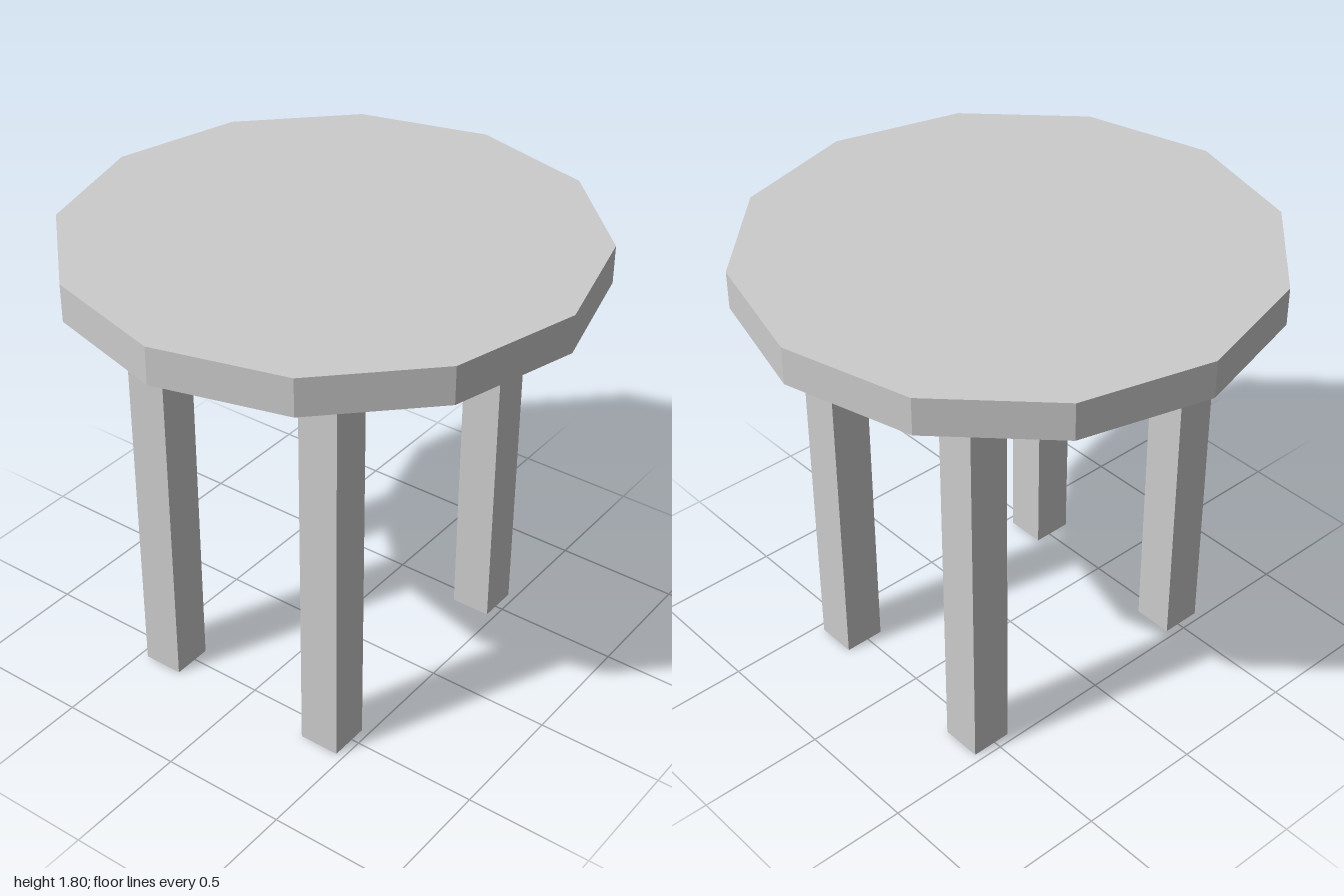
import * as THREE from 'three';

export function createModel() {
  const model = new THREE.Group();
  model.name = 'roundTable';
  const material = new THREE.MeshStandardMaterial({ color: 0xcccccc, flatShading: true });

  const height = 1.8, topThickness = 0.146;
  const legHeight = height - topThickness;
  const legWidth = 0.163, legX = 0.387, legZ = 0.516;

  // Twelve-sided slab, with corners on the x and z axes
  const top = new THREE.Mesh(new THREE.CylinderGeometry(1, 1, topThickness, 12), material);
  top.name = 'tableTop';
  top.position.y = height - topThickness / 2;
  model.add(top);

  // Four square legs
  const legGeometry = new THREE.BoxGeometry(legWidth, legHeight, legWidth);
  for (const [side, sx] of [['Left', 1], ['Right', -1]]) {
    for (const [end, sz] of [['front', 1], ['back', -1]]) {
      const leg = new THREE.Mesh(legGeometry, material);
      leg.name = `${end}${side}Leg`;
      leg.position.set(sx * legX, legHeight / 2, sz * legZ);
      model.add(leg);
    }
  }

  return model;
}
